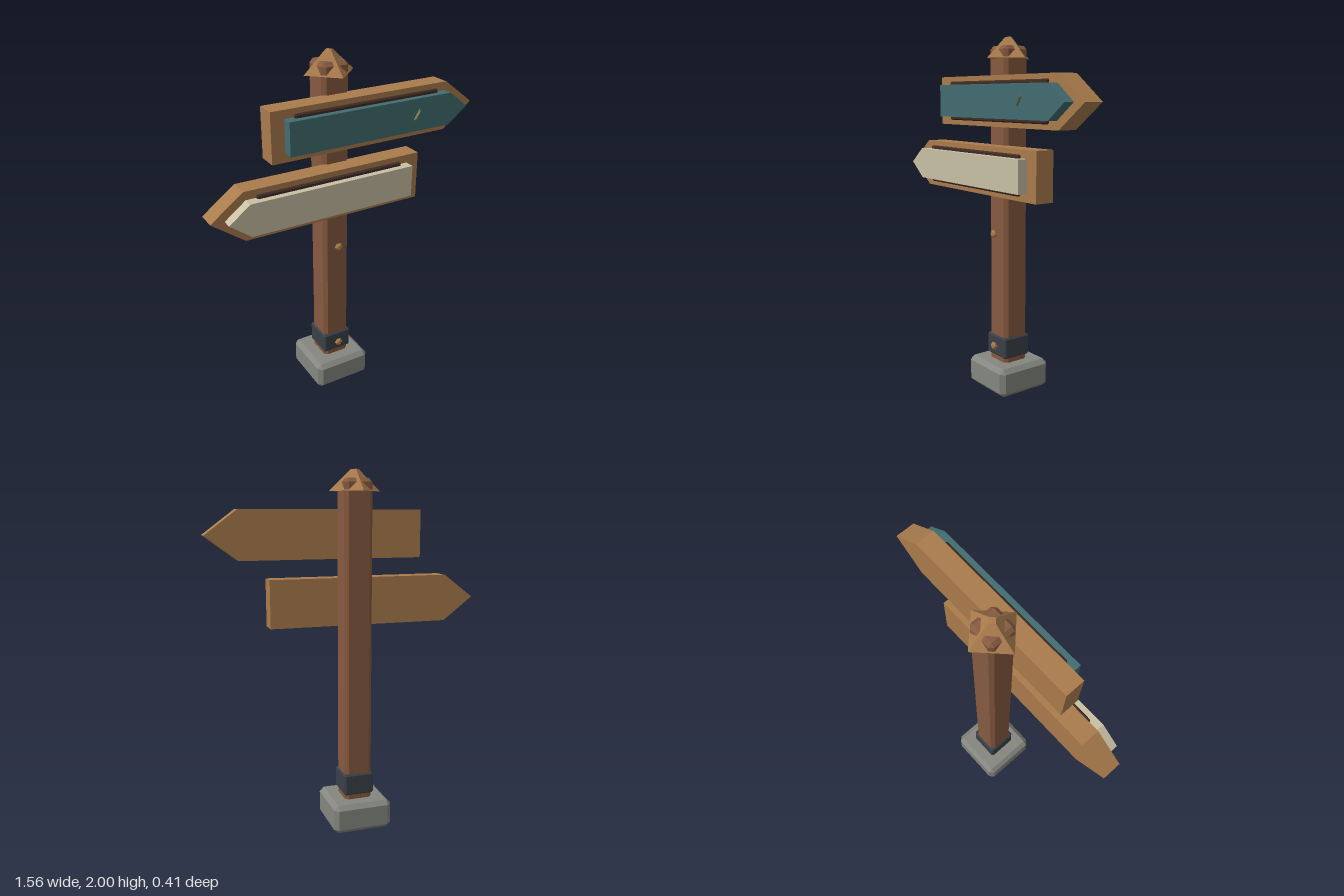
import * as THREE from 'three';
import { ConvexGeometry } from 'three/addons/geometries/ConvexGeometry.js';

const makeMaterial = (name, color) => {
  const m = new THREE.MeshStandardMaterial({ color });
  m.name = name;
  return m;
};

// Box with every edge and corner cut at 45 degrees
function chamferBox(w, h, d, k) {
  const a = w / 2, b = h / 2, c = d / 2, points = [];
  for (const x of [-1, 1]) for (const y of [-1, 1]) for (const z of [-1, 1]) {
    points.push(
      new THREE.Vector3(x * a, y * (b - k), z * (c - k)),
      new THREE.Vector3(x * (a - k), y * b, z * (c - k)),
      new THREE.Vector3(x * (a - k), y * (b - k), z * c));
  }
  return new ConvexGeometry(points);
}

// Plank with a pointed end; dir is the side it points to
function arrowPlank(dir, tail, shoulder, tip, h, depth) {
  const outline = [[tail, -h / 2], [shoulder, -h / 2], [tip, 0], [shoulder, h / 2], [tail, h / 2]];
  const shape = new THREE.Shape(outline.map(([x, y]) => new THREE.Vector2(x * dir, y)));
  return new THREE.ExtrudeGeometry(shape, { depth, bevelEnabled: false });
}

export function createModel() {
  const wood = makeMaterial('post wood', 0x865a40);
  const plank = makeMaterial('light wood', 0xa97b4c);
  const teal = makeMaterial('teal paint', 0x426c71);
  const cream = makeMaterial('cream paint', 0xc9c0a4);
  const stone = makeMaterial('stone', 0x84867f);
  const iron = makeMaterial('dark iron', 0x3a4048);
  const trim = makeMaterial('dark trim', 0x402c25);
  const moss = makeMaterial('olive', 0x7d7a4a);

  const model = new THREE.Group();
  model.name = 'signpost';
  const add = (parent, name, geometry, material, x, y, z) => {
    const flat = material.flatShading ? geometry : geometry.toNonIndexed?.() ?? geometry;
    flat.computeVertexNormals();
    const mesh = new THREE.Mesh(flat, material);
    mesh.name = name;
    mesh.position.set(x, y, z);
    parent.add(mesh);
    return mesh;
  };

  // Post, with its foot, collar and pointed cap
  const px = -0.022, pz = -0.038;
  add(model, 'base', chamferBox(0.338, 0.165, 0.338, 0.025), stone, px, 0.0825, pz);
  add(model, 'post', chamferBox(0.158, 1.84, 0.158, 0.02), wood, px, 1.032, pz);
  add(model, 'collar', chamferBox(0.175, 0.125, 0.175, 0.01), iron, px, 0.253, pz);
  add(model, 'cap', new THREE.CylinderGeometry(0.022, 0.145, 0.115, 4), plank, px, 1.9425, pz);

  // Bolts in front of the post
  for (const y of [0.255, 0.917]) {
    const bolt = add(model, 'bolt', new THREE.IcosahedronGeometry(0.025, 0), plank, px, y, 0.066);
    bolt.scale.z = 0.65;
  }

  // Two arrow boards pointing opposite ways
  const signs = [
    { name: 'upperSign', dir: 1, y: 1.657, paint: teal },
    { name: 'lowerSign', dir: -1, y: 1.284, paint: cream },
  ];
  for (const { name, dir, y, paint } of signs) {
    const sign = new THREE.Group();
    sign.name = name;
    sign.position.y = y;
    model.add(sign);
    add(sign, 'board', arrowPlank(dir, -0.438, 0.6, 0.778, 0.268, 0.11), plank, 0, 0, 0.026);
    add(sign, 'panel', arrowPlank(dir, -0.365, 0.588, 0.704, 0.177, 0.057), paint, 0, 0, 0.136);
    for (const side of [-1, 1]) {
      add(sign, 'trimBar', chamferBox(0.848, 0.03, 0.024, 0.006), trim, dir * 0.109, side * 0.092, 0.146);
    }
  }

  // Small sliver on the upper panel
  const sliver = add(model, 'sliver', new THREE.IcosahedronGeometry(1, 0), moss, 0.375, 1.66, 0.193);
  sliver.scale.set(0.004, 0.04, 0.015);
  sliver.rotation.z = -0.55;

  return model;
}
